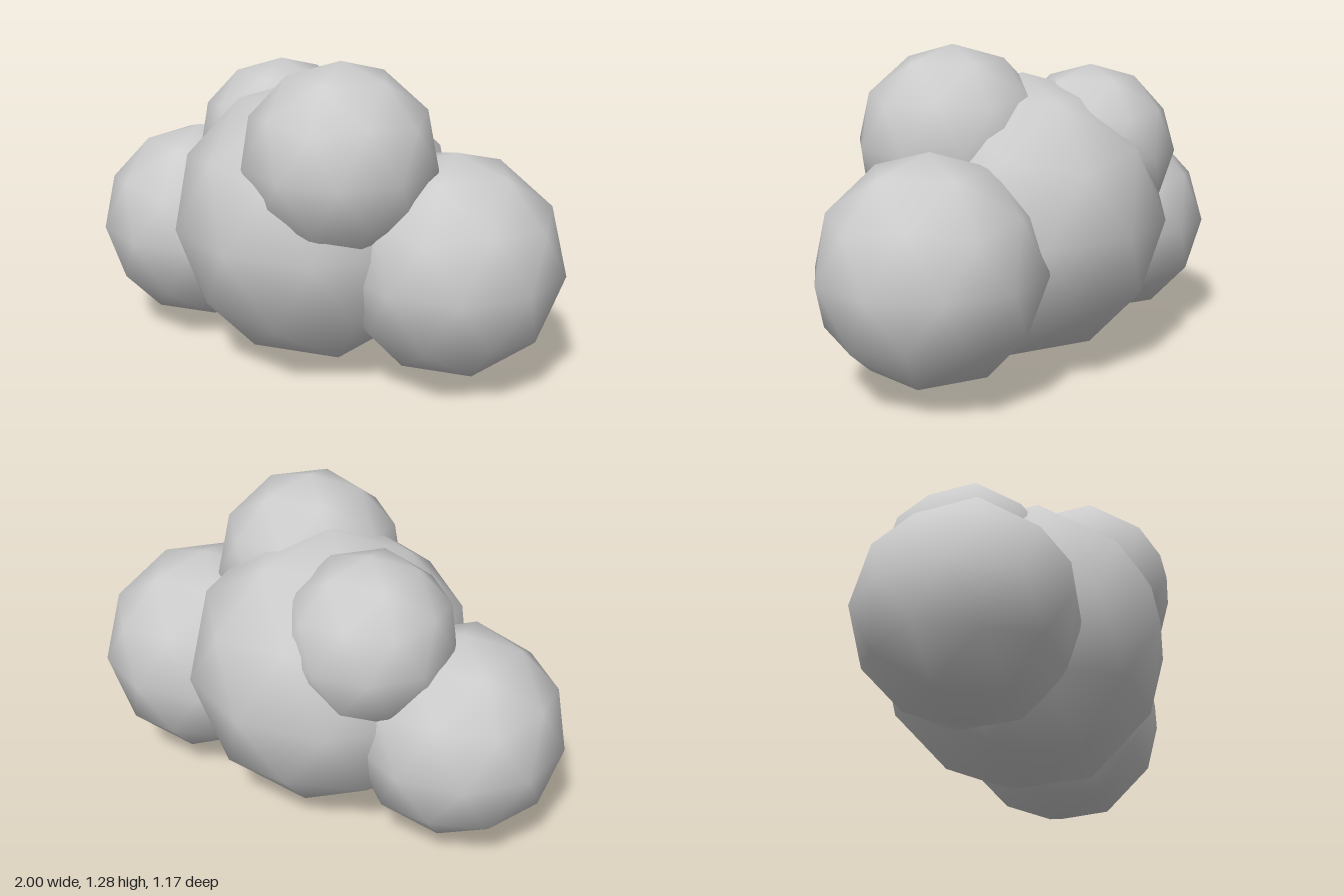
import * as THREE from 'three';

export function createModel() {
  const group = new THREE.Group();
  group.name = 'cloud';
  const cloudGrey = new THREE.MeshStandardMaterial({ color: 0xcccccc });
  cloudGrey.name = 'cloudGrey';

  // Smooth low-poly ball, turned so a corner points straight up and its upper ring starts at +x
  const ball = new THREE.IcosahedronGeometry(1, 1);
  ball.rotateX(-Math.atan((1 + Math.sqrt(5)) / 2));
  ball.rotateY(Math.PI / 2);

  // Puffs: name, radius, centre
  const puffs = [
    ['centrePuff', 0.583, -0.01, 0.585, 0],
    ['rightPuff', 0.423, -0.597, 0.468, 0.053],
    ['leftPuff', 0.447, 0.573, 0.489, -0.102],
    ['topFrontPuff', 0.387, 0.222, 0.899, 0.156],
    ['topBackPuff', 0.347, -0.285, 0.842, -0.119],
  ];
  for (const [name, radius, x, y, z] of puffs) {
    const puff = new THREE.Mesh(ball, cloudGrey);
    puff.name = name;
    puff.scale.setScalar(radius);
    puff.position.set(x, y, z);
    group.add(puff);
  }
  return group;
}
